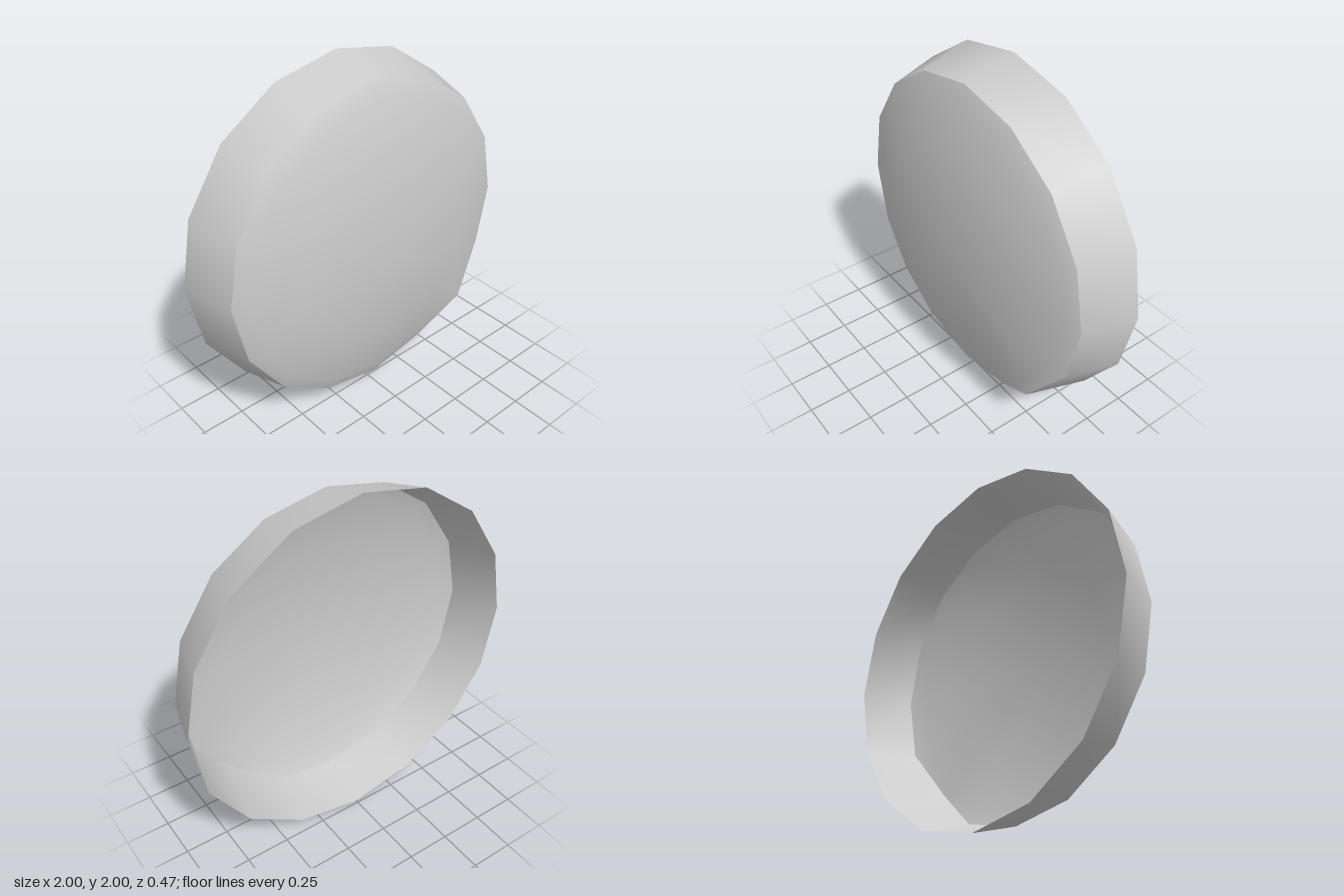
import * as THREE from 'three';

const SIDES = 16;
const DENT = 14; // rim corner at the lower left that is pushed forward

// Corner i of a ring with radius r at depth z
function corner(r, z, i) {
  const a = (i % SIDES) / SIDES * Math.PI * 2;
  return [r * Math.cos(a), 1 + r * Math.sin(a), z];
}

function rimCorner(i) {
  return i % SIDES === DENT ? corner(0.9, 0.13, i) : corner(0.92, 0.06, i);
}

// Smooth surface through rings of corners, ordered from back to front,
// optionally closed by an apex
function loft(rings, apex) {
  const pos = [], index = [];
  for (const ring of rings) {
    for (let i = 0; i < SIDES; i++) pos.push(...ring(i));
  }
  for (let k = 0; k < rings.length - 1; k++) {
    for (let i = 0; i < SIDES; i++) {
      const j = (i + 1) % SIDES;
      const a = k * SIDES + i, b = k * SIDES + j;
      const c = a + SIDES, d = b + SIDES;
      index.push(a, b, d, a, d, c);
    }
  }
  if (apex) {
    const tip = pos.length / 3, last = (rings.length - 1) * SIDES;
    pos.push(...apex);
    for (let i = 0; i < SIDES; i++) index.push(last + i, last + (i + 1) % SIDES, tip);
  }
  const geo = new THREE.BufferGeometry();
  geo.setAttribute('position', new THREE.Float32BufferAttribute(pos, 3));
  geo.setIndex(index);
  geo.computeVertexNormals();
  return geo;
}

export function createModel() {
  const group = new THREE.Group();
  group.name = 'dishCover';
  const material = new THREE.MeshStandardMaterial({ color: 0xcccccc, side: THREE.DoubleSide });

  // Flared side wall, open at the back
  const wall = new THREE.Mesh(loft([i => corner(1, -0.235, i), rimCorner]), material);
  wall.name = 'sideWall';

  // Shallow domed front face, creased where it meets the wall
  const dome = new THREE.Mesh(loft([
    rimCorner,
    i => corner(0.84, i % SIDES === DENT ? 0.135 : 0.1, i),
    i => corner(0.555, 0.18, i),
  ], [0, 1, 0.235]), material);
  dome.name = 'frontDome';

  group.add(wall, dome);
  return group;
}
